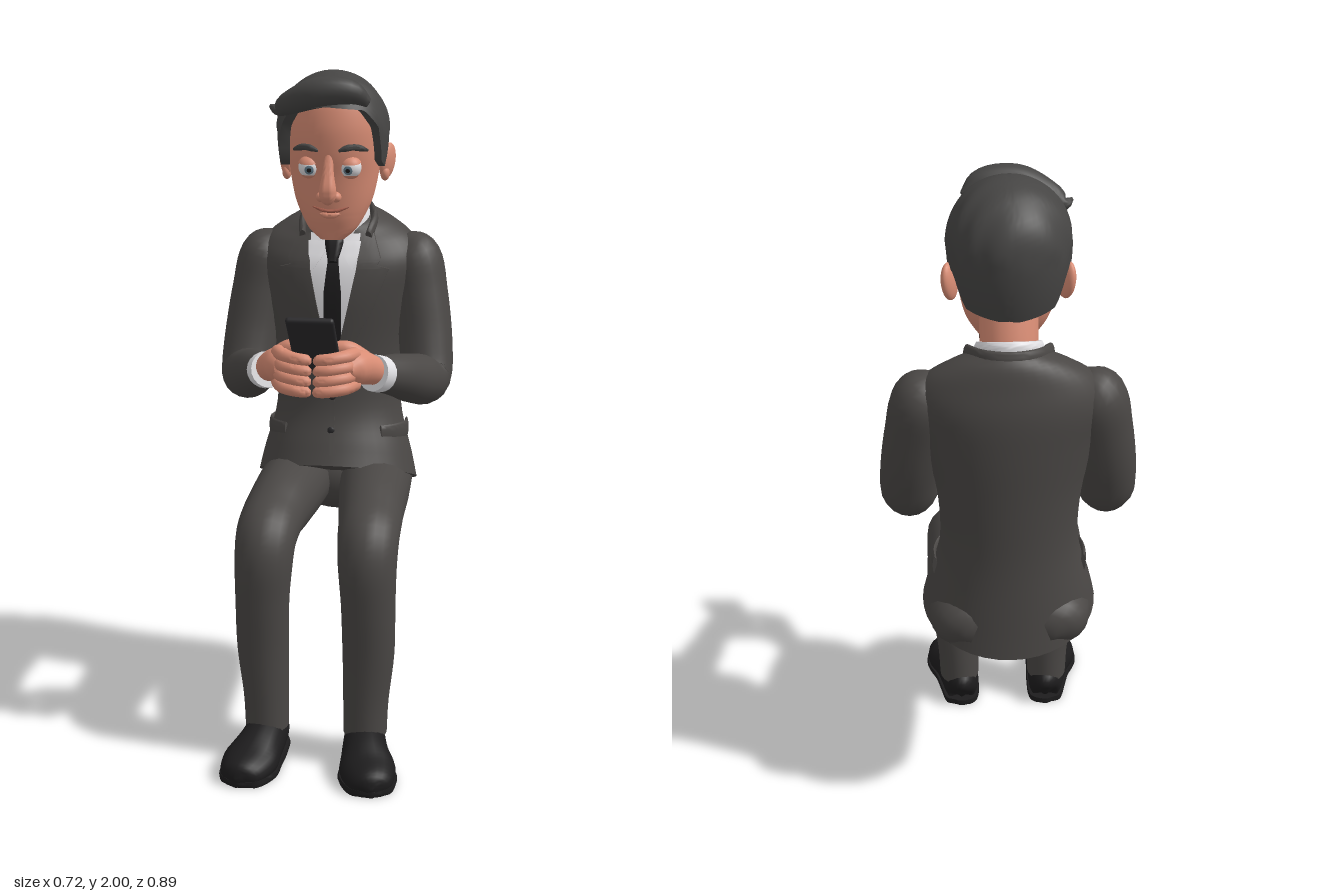
import * as THREE from 'three';
import { toCreasedNormals } from 'three/addons/utils/BufferGeometryUtils.js';
import { RoundedBoxGeometry } from 'three/addons/geometries/RoundedBoxGeometry.js';

const V = (x, y, z) => new THREE.Vector3(x, y, z);
const paint = (name, color, extra = {}) => new THREE.MeshStandardMaterial({ name, color, ...extra });

// Closed skin over a list of rings, each an array of points
function skin(rings, crease = 0.9) {
  const m = rings[0].length, pos = [], idx = [];
  rings.forEach(r => r.forEach(p => pos.push(p.x, p.y, p.z)));
  for (let i = 0; i < rings.length - 1; i++) for (let j = 0; j < m; j++) {
    const a = i * m + j, b = i * m + (j + 1) % m;
    idx.push(a, b, b + m, a, b + m, a + m);
  }
  [0, rings.length - 1].forEach((k, end) => {
    const c = rings[k].reduce((s, p) => s.add(p), V(0, 0, 0)).divideScalar(m), ci = pos.length / 3;
    pos.push(c.x, c.y, c.z);
    for (let j = 0; j < m; j++) {
      const a = k * m + j, b = k * m + (j + 1) % m;
      end ? idx.push(ci, a, b) : idx.push(ci, b, a);
    }
  });
  const g = new THREE.BufferGeometry();
  g.setAttribute('position', new THREE.Float32BufferAttribute(pos, 3));
  g.setIndex(idx);
  return toCreasedNormals(g, crease);
}

// Five-column rows sampled along a smooth spline
function sample(rows, steps) {
  const curve = pts => new THREE.CatmullRomCurve3(pts, false, 'catmullrom', 0.5);
  const A = curve(rows.map(r => V(r[0], r[1], r[2])));
  const B = curve(rows.map(r => V(r[3], r[4] ?? r[3], 0)));
  const n = (rows.length - 1) * steps;
  return Array.from({ length: n + 1 }, (_, i) =>
    ({ a: A.getPoint(i / n), b: B.getPoint(i / n), t: A.getTangent(i / n) }));
}

// Limb: rows of [x, y, z, side radius, other radius]
function limb(rows, { ref = V(1, 0, 0), m = 20, steps = 5, tweak } = {}) {
  return skin(sample(rows, steps).map(({ a, b, t }) => {
    const side = ref.clone().addScaledVector(t, -ref.dot(t)).normalize();
    const up = t.clone().cross(side);
    return Array.from({ length: m }, (_, j) => {
      const q = j / m * Math.PI * 2;
      const p = a.clone().addScaledVector(side, Math.cos(q) * b.x).addScaledVector(up, Math.sin(q) * b.y);
      if (tweak) tweak(p);
      return p;
    });
  }));
}

// Upright stack: rows of [y, centre z, x radius, z radius, forward tilt]
function stack(rows, m = 40, steps = 5) {
  return skin(sample(rows, steps).map(({ a, b }) => Array.from({ length: m }, (_, j) => {
    const q = j / m * Math.PI * 2, dz = Math.cos(q) * b.x;
    return V(Math.sin(q) * a.z, a.x + b.y * dz, a.y + dz);
  })));
}

// Front surface height of a mesh
const ray = new THREE.Raycaster();
function frontZ(mesh, x, y) {
  ray.set(V(x, y, 2), V(0, 0, -1));
  const hit = ray.intersectObject(mesh)[0];
  return hit ? hit.point.z : -0.2;
}

// Thin cloth laid on a mesh: rows of [y, x0, x1] from top to bottom, edges tucked in
function patch(mesh, rows, lift) {
  const pos = [], idx = [], cols = 9, steps = 5, n = (rows.length - 1) * steps;
  for (let i = 0; i <= n; i++) {
    const k = Math.min(Math.floor(i / steps), rows.length - 2), f = i / steps - k;
    const [y, x0, x1] = rows[k].map((v, c) => v + (rows[k + 1][c] - v) * f);
    for (let j = 0; j < cols; j++) {
      const u = THREE.MathUtils.clamp((j - 1) / (cols - 3), 0, 1), x = x0 + (x1 - x0) * u;
      const edge = j === 0 || j === cols - 1;
      pos.push(x, y, frontZ(mesh, x, y) + (edge ? -0.003 : lift));
      if (i < n && j < cols - 1) {
        const a = i * cols + j;
        idx.push(a, a + cols, a + 1, a + 1, a + cols, a + cols + 1);
      }
    }
  }
  const g = new THREE.BufferGeometry();
  g.setAttribute('position', new THREE.Float32BufferAttribute(pos, 3));
  g.setIndex(idx);
  return toCreasedNormals(g, 0.7);
}

// Hair cap with a hairline that varies around the head
function hairCap() {
  const line = [[0, 1.9], [.75, 1.89], [1.05, 1.84], [1.25, 1.74], [1.5, 1.72], [1.65, 1.78], [2, 1.77], [2.2, 1.68], [3.15, 1.66]];
  const low = q => {
    const k = Math.max(1, line.findIndex(p => p[0] >= q)), [a, ya] = line[k - 1], [b, yb] = line[k];
    return ya + (yb - ya) * (q - a) / (b - a);
  };
  const m = 96, n = 26, rings = [];
  for (let i = -1; i <= n; i++) rings.push(Array.from({ length: m }, (_, j) => {
    const az = j / m * Math.PI * 2, q = Math.min(az, Math.PI * 2 - az);
    const p0 = Math.asin(THREE.MathUtils.clamp((low(q) - 1.83) / .17, -1, 1));
    const phi = p0 + (1.55 - p0) * Math.max(i, 0) / n;
    let f = phi > 0 ? Math.cos(phi) : 1 - .15 * Math.sin(phi) ** 2;
    const x = Math.sin(az) * f * .164, z = Math.cos(az) * f * .17;
    if (phi > 0) f *= 1 + .016 * Math.sin(75 * (z + .4 * x + 2 * x * x));
    if (i < 0) f *= .8;
    return V(Math.sin(az) * f * .164 - .004, 1.83 + .168 * Math.sin(phi), -.16 + Math.cos(az) * f * .17);
  }));
  return skin(rings, 1.2);
}

export function createModel() {
  const man = new THREE.Group();
  man.name = 'seatedMan';
  const two = { side: THREE.DoubleSide };
  const suit = paint('suit charcoal', 0x4a4745, two), hair = paint('hair grey', 0x464544);
  const flesh = paint('skin', 0xd98d75), white = paint('shirt white', 0xe2e1e4, two);
  const black = paint('shoe black', 0x1d1c1d, two), casing = paint('phone casing', 0x2b2a2c);
  const glass = paint('phone screen', 0x9b9b9b), iris = paint('iris', 0x66808f), lip = paint('lip', 0xa9604f);
  const add = (name, geo, mat, pos, scale, rot) => {
    const mesh = new THREE.Mesh(geo, mat);
    mesh.name = name;
    if (pos) mesh.position.set(...pos);
    if (scale) mesh.scale.set(...scale);
    if (rot) mesh.rotation.set(...rot);
    man.add(mesh);
    return mesh;
  };
  const ball = (r = 1) => new THREE.SphereGeometry(r, 24, 16);
  const Y = V(0, 1, 0);

  // Jacket body
  const jacket = add('jacket', stack([
    [.75, -.245, .25, .2, .4], [.83, -.255, .232, .182, .32], [.98, -.27, .195, .155, .08], [1.15, -.275, .2, .152, 0],
    [1.32, -.275, .235, .157, 0], [1.43, -.28, .258, .15, -.05], [1.5, -.285, .228, .128, -.15],
    [1.545, -.285, .165, .11, -.3], [1.57, -.272, .1, .095, -.4]]), suit);
  man.updateMatrixWorld(true);
  add('jacketCollar', limb([[-.1, 1.51, -.18, .02, .01], [-.108, 1.55, -.26, .03, .012], [-.07, 1.58, -.345, .03, .012],
    [0, 1.585, -.37, .03, .012], [.07, 1.58, -.345, .03, .012], [.108, 1.55, -.26, .03, .012], [.1, 1.51, -.18, .02, .01]], { ref: Y }), suit);
  add('jacketFrontEdge', patch(jacket, [[1.1, -.006, .006], [.98, -.006, .006], [.86, .0, .02]], .004), suit);
  [1.03, .93].forEach(y => add('jacketButton', ball(.011), casing, [0, y, frontZ(jacket, 0, y) + .004], [1, 1, .5]));

  // Shirt and tie
  add('shirtFront', patch(jacket, [[1.52, -.075, .075], [1.42, -.07, .07], [1.3, -.045, .045], [1.12, -.004, .004]], .004), white);
  add('shirtCollar', stack([[1.54, -.262, .095, .096, -.45], [1.575, -.262, .092, .094, -.48], [1.59, -.26, .086, .088, -.48]]), white);
  add('tieBlade', patch(jacket, [[1.46, -.014, .014], [1.35, -.026, .026], [1.2, -.026, .026], [1.12, -.006, .006]], .009), black);
  add('tieKnot', limb([[0, 1.51, -.165, .027, .014], [0, 1.49, -.15, .027, .016], [0, 1.44, -.122, .014, .012]]), black);

  // Pelvis and neck
  add('trouserSeat', ball(), suit, [0, .735, -.3], [.19, .115, .13]);
  add('neck', limb([[0, 1.46, -.275, .08], [0, 1.58, -.255, .077], [0, 1.7, -.21, .08]]), flesh);

  // Head and hair
  const head = add('head', stack([
    [1.512, -.115, .035, .028, 0], [1.54, -.125, .068, .047, 0], [1.58, -.14, .093, .076, 0], [1.63, -.155, .115, .1, 0],
    [1.7, -.165, .13, .12, 0], [1.77, -.165, .137, .134, 0], [1.85, -.165, .137, .137, 0], [1.93, -.165, .115, .115, 0], [1.96, -.165, .05, .05, 0]]), flesh);
  add('hair', hairCap(), hair);
  add('hairQuiff', limb([[.11, 1.91, -.06, .015], [.06, 1.94, -.035, .036], [-.03, 1.938, -.026, .043], [-.11, 1.91, -.045, .034], [-.15, 1.89, -.065, .02], [-.174, 1.9, -.06, .004]], { ref: Y }), hair);
  add('nose', limb([[0, 1.765, -.045, .012], [0, 1.71, -.03, .017], [0, 1.665, -.022, .025], [0, 1.64, -.025, .022], [0, 1.628, -.035, .008]]), flesh);
  const arc = (x0, x1, y, rise, r, lift) => [0, .25, .5, .75, 1].map(u => {
    const x = x0 + (x1 - x0) * u, h = y + rise * Math.sin(u * Math.PI);
    return [x, h, frontZ(head, x, h) + lift, u % 1 ? r : r * .4];
  });
  man.updateMatrixWorld(true);
  add('mouth', limb(arc(-.05, .055, 1.612, -.012, .005, 0), { ref: Y, m: 10 }), lip);
  add('lowerLip', limb(arc(-.03, .03, 1.592, -.005, .009, -.003), { ref: Y, m: 10 }), flesh);

  for (const s of [1, -1]) {
    const side = s > 0 ? 'left' : 'right';
    const flip = rows => rows.map(([x, ...r]) => [x * s, ...r]);
    const part = (name, rows, mat, opt) => add(side + name, limb(flip(rows), opt), mat);
    const band = rows => rows.map(([y, a, b]) => s > 0 ? [y, a, b] : [y, -b, -a]);

    // Face
    const eye = [.06 * s, 1.727, -.066];
    add(side + 'Eye', ball(.032), white, eye);
    add(side + 'Iris', new THREE.SphereGeometry(.0326, 20, 4, 0, Math.PI * 2, 0, .42), iris, eye, null, [1.82, 0, s * .12]);
    add(side + 'Pupil', new THREE.SphereGeometry(.0331, 16, 3, 0, Math.PI * 2, 0, .2), black, eye, null, [1.82, 0, s * .12]);
    add(side + 'UpperLid', new THREE.SphereGeometry(.0345, 24, 10, 0, Math.PI * 2, 0, 1.15), flesh, eye, null, [.2, 0, 0]);
    add(side + 'LowerLid', new THREE.SphereGeometry(.034, 24, 8, 0, Math.PI * 2, 2.3, .84), flesh, eye);
    add(side + 'Brow', limb(arc(.03 * s, .108 * s, 1.775, .01, .009, .002), { ref: Y, m: 10 }), hair);
    add(side + 'Nostril', ball(), flesh, [.022 * s, 1.643, -.042], [.015, .015, .018]);
    add(side + 'Ear', ball(), flesh, [.152 * s, 1.735, -.2], [.018, .054, .036], [-.2, s * -.4, s * -.15]);
    add(side + 'EarLobe', ball(), flesh, [.147 * s, 1.7, -.185], [.014, .022, .018]);

    // Collar wing, lapel and pocket flap
    add(side + 'CollarWing', patch(jacket, band([[1.5, .02, .08], [1.46, .03, .075], [1.42, .058, .062]]), .013), white);
    add(side + 'Lapel', patch(jacket, band([[1.52, .078, .115], [1.45, .074, .14], [1.43, .071, .13], [1.42, .07, .165], [1.3, .045, .12], [1.1, .0, .012]]), .012), suit);
    part('PocketFlap', [.75, 1, 1.25, 1.5, 1.75].map(q => [Math.sin(q) * .214, .915 - .01 * q, -.264 + Math.cos(q) * .172, .03, .007]), suit, { ref: Y });

    // Arm, cuff and hand
    part('Sleeve', [[.19, 1.5, -.285, .03], [.225, 1.445, -.283, .082], [.25, 1.33, -.265, .085], [.272, 1.19, -.232, .082],
      [.278, 1.09, -.185, .078], [.25, 1.1, -.1, .075], [.21, 1.132, 0, .064], [.166, 1.155, .085, .052]], suit);
    part('Cuff', [[.18, 1.15, .06, .05], [.165, 1.156, .09, .054], [.152, 1.163, .112, .053]], white);
    part('Palm', [[.165, 1.155, .085, .036], [.142, 1.175, .12, .044], [.115, 1.19, .16, .05], [.098, 1.195, .2, .046], [.088, 1.195, .235, .024]], flesh);
    part('Thumb', [[.13, 1.205, .125, .025], [.085, 1.235, .14, .025], [.045, 1.238, .148, .02], [.018, 1.226, .168, .018], [.008, 1.222, .178, .006]], flesh, { ref: Y, m: 14 });
    for (let i = 0; i < 4; i++) {
      const y = 1.235 - .029 * i, z = .004 * i;
      part('Finger' + (i + 1), [[.11, y, .19, .02], [.088, y, .235 + z, .019], [.05, y - .004, .258 + z, .018], [.015, y - .008, .257 + z, .016], [.004, y - .008, .253 + z, .006]], flesh, { ref: Y, m: 12 });
    }

    // Leg
    part('TrouserLeg', [[.1, .745, -.42, .03], [.11, .75, -.36, .11, .09], [.125, .735, -.2, .112, .104], [.138, .722, 0, .1, .102],
      [.146, .708, .1, .094, .09], [.15, .68, .18, .09, .088], [.152, .615, .216, .086, .084], [.156, .5, .222, .08, .076],
      [.157, .35, .213, .077, .075], [.15, .2, .207, .068, .075], [.148, .09, .205, .065, .075]], suit);

    // Shoe
    const shoe = [[.142, .05, .128, .01, .02], [.142, .06, .15, .05, .068], [.148, .06, .21, .062, .073], [.158, .05, .28, .07, .068],
      [.174, .035, .35, .082, .055], [.192, .025, .42, .06, .044], [.198, .02, .446, .012, .012]];
    part('Shoe', shoe, black, { tweak: p => { p.y = Math.max(p.y, .004); } });
    part('Sole', shoe.map(([x, y, z, r, h]) => [x, .012, z, r * 1.06, h]), black, { tweak: p => { p.y = THREE.MathUtils.clamp(p.y, 0, .02); } });
  }

  // Phone, screen turned towards the face
  const phone = new THREE.Group();
  phone.name = 'phone';
  phone.position.set(0, 1.262, .225);
  phone.rotation.x = .75;
  const body = new THREE.Mesh(new RoundedBoxGeometry(.134, .25, .02, 4, .009), casing);
  body.name = 'phoneBody';
  const screen = new THREE.Mesh(new THREE.BoxGeometry(.112, .215, .004), glass);
  screen.name = 'phoneScreen';
  screen.position.z = -.0095;
  phone.add(body, screen);
  man.add(phone);
  return man;
}
